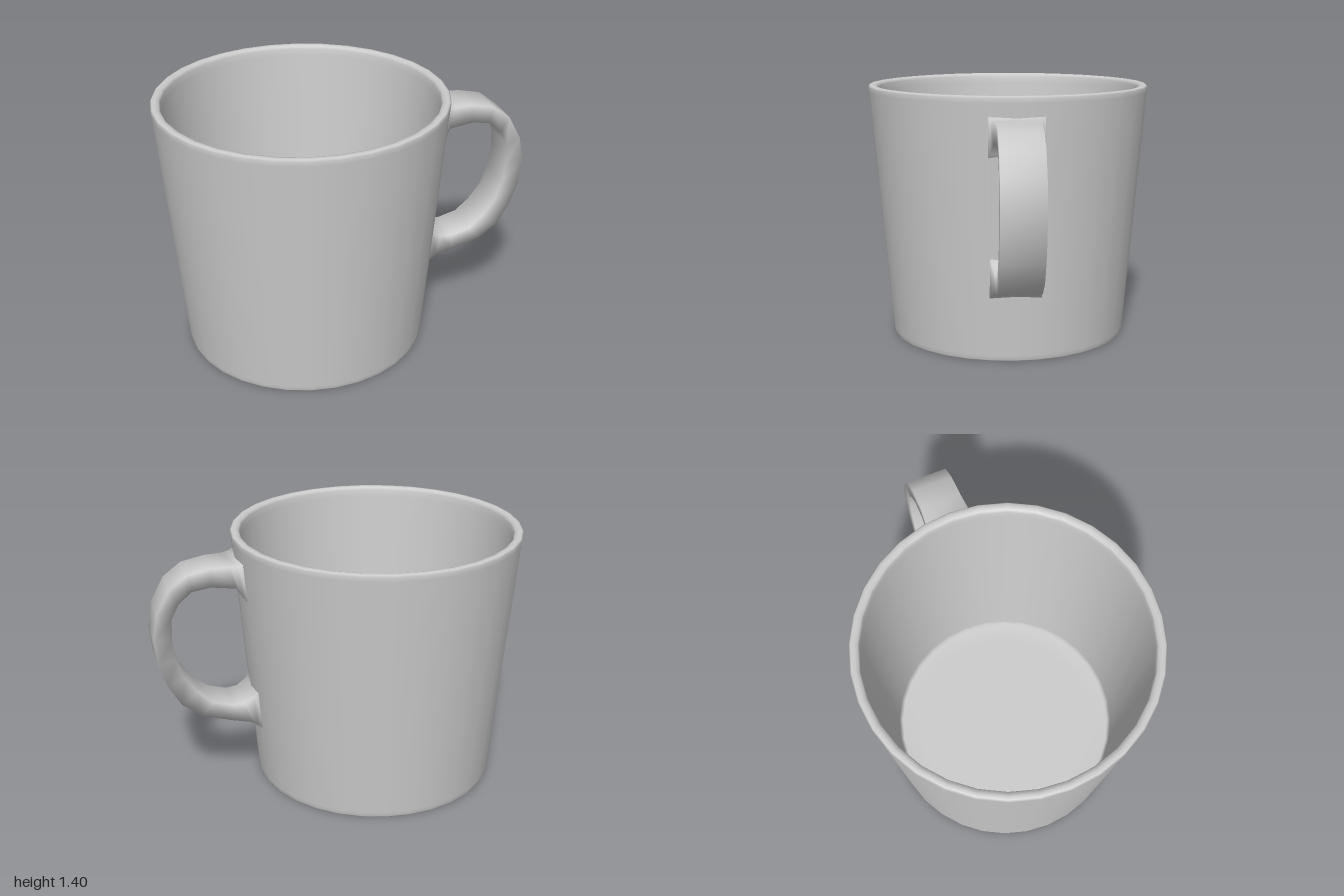
import * as THREE from 'three';

// Handle as a ribbon of rectangular sections: [outerX, outerY, innerX, innerY, halfWidth]
function handleGeometry(stations) {
  const pos = [], idx = [];
  for (const [ox, oy, ix, iy, w] of stations) {
    pos.push(ox, oy, w, ox, oy, -w, ix, iy, -w, ix, iy, w);
  }
  for (let s = 0; s < stations.length - 1; s++) {
    for (let k = 0; k < 4; k++) {
      const a = s * 4 + k, b = s * 4 + (k + 1) % 4;
      idx.push(a, a + 4, b, b, a + 4, b + 4);
    }
  }
  const g = new THREE.BufferGeometry();
  g.setAttribute('position', new THREE.Float32BufferAttribute(pos, 3));
  g.setIndex(idx);
  g.computeVertexNormals();
  return g;
}

export function createModel() {
  const group = new THREE.Group();
  const material = new THREE.MeshStandardMaterial({ color: 0xcccccc, side: THREE.DoubleSide });

  // Tapered cup: base, outer wall, rounded rim, inner wall, floor
  const profile = [
    [0, 0], [0.57, 0], [0.652, 0], [0.656, 0.006], [0.66, 0.03],
    [0.772, 1.37], [0.775, 1.395], [0.768, 1.403], [0.75, 1.405], [0.732, 1.4], [0.725, 1.385], [0.722, 1.35],
    [0.622, 0.15], [0.618, 0.125], [0.605, 0.115], [0.5, 0.11], [0, 0.11],
  ].map(([r, y]) => new THREE.Vector2(r, y));
  const cup = new THREE.Mesh(new THREE.LatheGeometry(profile, 32), material);
  cup.name = 'cup';
  cup.position.x = -0.225;
  group.add(cup);

  // Handle, flaring where it meets the wall
  const handle = new THREE.Mesh(handleGeometry([
    [0.51, 1.31, 0.50, 1.08, 0.15],
    [0.55, 1.29, 0.53, 1.12, 0.135],
    [0.59, 1.287, 0.56, 1.168, 0.118],
    [0.69, 1.285, 0.69, 1.185, 0.11],
    [0.81, 1.26, 0.79, 1.17, 0.11],
    [0.905, 1.19, 0.86, 1.11, 0.11],
    [0.975, 1.06, 0.90, 1.03, 0.11],
    [1.0, 0.92, 0.905, 0.92, 0.11],
    [0.985, 0.78, 0.89, 0.80, 0.11],
    [0.94, 0.65, 0.85, 0.69, 0.11],
    [0.875, 0.54, 0.785, 0.60, 0.11],
    [0.77, 0.46, 0.705, 0.53, 0.11],
    [0.61, 0.41, 0.60, 0.50, 0.11],
    [0.51, 0.388, 0.54, 0.505, 0.115],
    [0.475, 0.37, 0.485, 0.54, 0.125],
    [0.44, 0.345, 0.455, 0.58, 0.14],
  ]), material);
  handle.name = 'handle';
  group.add(handle);

  return group;
}
